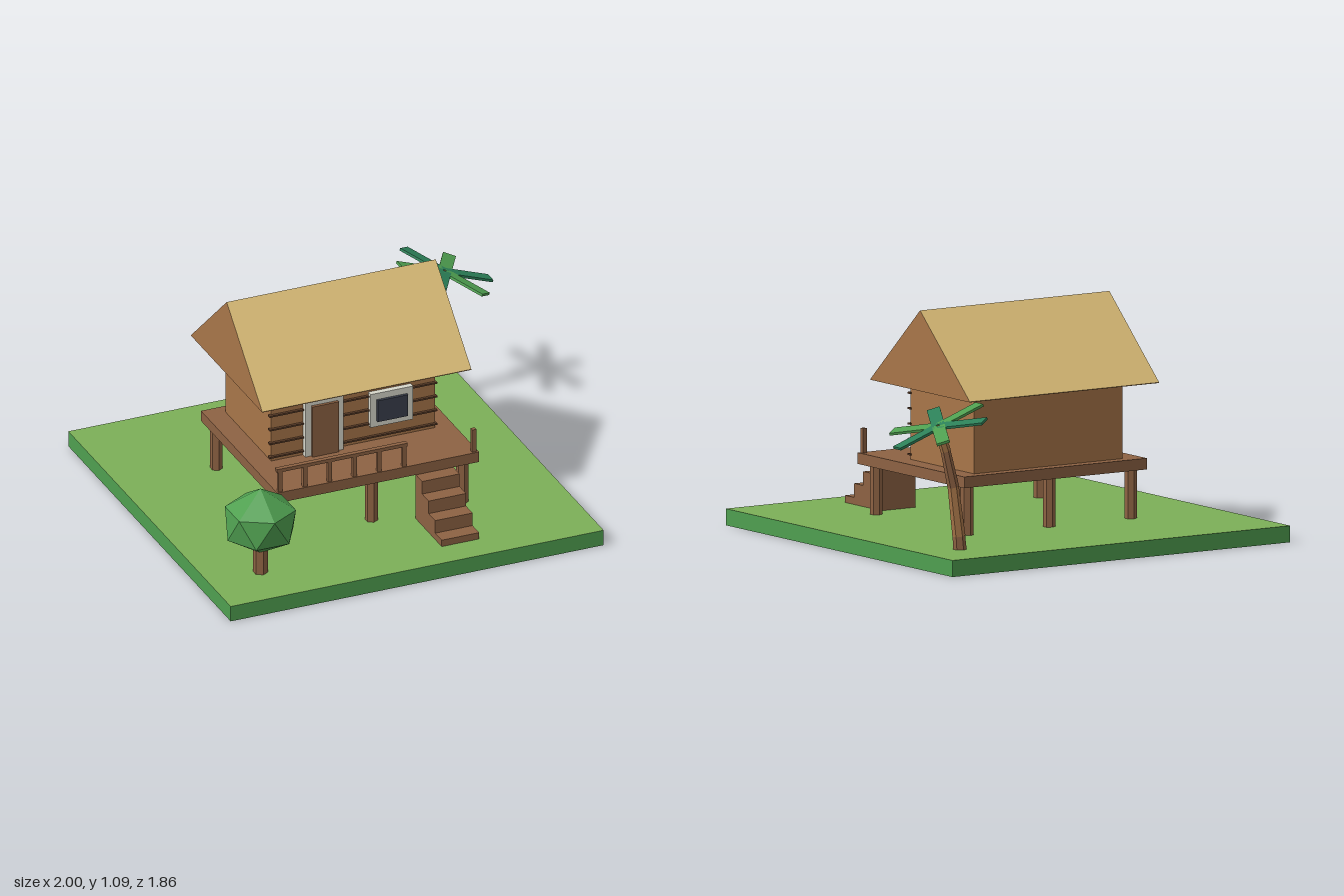
import * as THREE from 'three';
import { ConvexGeometry } from 'three/addons/geometries/ConvexGeometry.js';

const mat = (color) => new THREE.MeshStandardMaterial({ color, flatShading: true });
const grass = mat(0x7cb058), green = mat(0x4f9f50), teal = mat(0x2c8058);
const wall = mat(0xa87649), wood = mat(0x8d6243), dark = mat(0x5f402b);
const thatch = mat(0xd8ba76), trim = mat(0xd8d8cc), glass = mat(0x3a3f4c);

export function createModel() {
  const model = new THREE.Group();

  const add = (parent, name, geometry, material) => {
    const mesh = new THREE.Mesh(geometry, material);
    mesh.name = name;
    parent.add(mesh);
    return mesh;
  };
  const group = (name) => {
    const g = new THREE.Group();
    g.name = name;
    model.add(g);
    return g;
  };
  // Box given by its limits on each axis
  const box = (parent, name, material, x0, x1, y0, y1, z0, z1) => {
    const mesh = add(parent, name, new THREE.BoxGeometry(x1 - x0, y1 - y0, z1 - z0), material);
    mesh.position.set((x0 + x1) / 2, (y0 + y1) / 2, (z0 + z1) / 2);
    return mesh;
  };
  // Six-sided post between two points
  const post = (parent, name, material, a, b, rTop, rBottom) => {
    const dir = b.clone().sub(a);
    const mesh = add(parent, name, new THREE.CylinderGeometry(rTop, rBottom, dir.length(), 6), material);
    mesh.position.copy(a).add(b).multiplyScalar(0.5);
    mesh.quaternion.setFromUnitVectors(new THREE.Vector3(0, 1, 0), dir.normalize());
    return mesh;
  };
  const v = (x, y, z) => new THREE.Vector3(x, y, z);

  // Ground slab with a lighter top
  box(model, 'ground', [green, green, grass, green, green, green], -1, 0.864, 0, 0.077, -0.932, 0.932);

  // Deck on stilts
  const deck = group('deck');
  box(deck, 'deckFloor', wood, -0.573, 0.435, 0.305, 0.357, -0.39, 0.486);
  for (const x of [-0.52, -0.07, 0.383]) {
    for (const z of [0.412, -0.335]) {
      post(deck, 'stilt', wood, v(x, 0.07, z), v(x, 0.31, z), 0.029, 0.029);
    }
  }

  // Steps down to the ground
  const stairs = group('stairs');
  for (let i = 0; i < 4; i++) {
    const z = 0.482 + i * 0.075;
    box(stairs, 'step', wood, 0.12, 0.307, 0.07, 0.305 - i * 0.065, z, z + 0.075);
  }

  // Railing along the front, open at the steps
  const railing = group('railing');
  box(railing, 'topRail', wood, -0.573, 0.08, 0.46, 0.477, 0.46, 0.483);
  for (let i = 0; i < 6; i++) {
    const x = -0.555 + i * 0.124;
    box(railing, 'baluster', wood, x - 0.01, x + 0.01, 0.35, 0.465, 0.462, 0.481);
  }
  box(railing, 'endPost', wood, 0.405, 0.426, 0.35, 0.472, 0.456, 0.477);

  // House body with thin battens across the front
  const house = group('house');
  box(house, 'walls', wall, -0.474, 0.345, 0.35, 0.72, -0.337, 0.187);
  for (let i = 0; i < 5; i++) {
    const y = 0.38 + i * 0.0712;
    box(house, 'batten', dark, -0.486, 0.352, y - 0.004, y + 0.004, 0.18, 0.2);
  }

  // Door and window, each set on a pale frame
  box(house, 'doorFrame', trim, -0.315, -0.125, 0.355, 0.652, 0.18, 0.215);
  box(house, 'door', wood, -0.285, -0.152, 0.355, 0.617, 0.19, 0.229);
  box(house, 'windowFrame', trim, 0.012, 0.224, 0.44, 0.612, 0.18, 0.215);
  box(house, 'windowPane', glass, 0.042, 0.193, 0.47, 0.58, 0.19, 0.229);

  // Gable roof: wooden ends and underside, thatched slopes
  const gable = new THREE.Shape([[-0.409, 0.717], [0.409, 0.717], [0, 1.088]].map(([x, y]) => new THREE.Vector2(x, y)));
  const roof = add(house, 'roof',
    new THREE.ExtrudeGeometry(gable, { depth: 1.045, bevelEnabled: false }), [wall, thatch]);
  roof.rotation.y = Math.PI / 2;
  roof.position.set(-0.59, 0, -0.056);
  box(house, 'roofUnderside', wall, -0.59, 0.455, 0.714, 0.717, -0.465, 0.353);

  // Bush: two staggered hexagon rings between a top and a bottom point
  const bush = group('bush');
  bush.position.set(-0.739, 0, 0.674);
  const points = [v(0, 0.508, 0), v(0, 0.175, 0)];
  for (let i = 0; i < 6; i++) {
    const a = i * Math.PI / 3, b = a + Math.PI / 6;
    points.push(v(0.164 * Math.sin(a), 0.406, 0.164 * Math.cos(a)));
    points.push(v(0.164 * Math.sin(b), 0.272, 0.164 * Math.cos(b)));
  }
  add(bush, 'bushCrown', new ConvexGeometry(points), green);
  post(bush, 'bushTrunk', wood, v(0, 0.002, 0), v(0, 0.22, 0), 0.035, 0.035);

  // Palm trunk: tapering segments that lean over
  const palm = group('palm');
  const bend = [[0.643, 0.004], [0.655, 0.14], [0.686, 0.37], [0.728, 0.54], [0.77, 0.66]]
    .map(([x, y]) => v(x, y, -0.673));
  for (let i = 0; i < 4; i++) {
    const r = 0.033 - i * 0.003;
    post(palm, 'palmTrunk', i % 2 ? wall : wood, bend[i], bend[i + 1], r - 0.004, r);
  }

  // Six flat fronds, alternating in colour, on a tilted crown
  const crown = new THREE.Group();
  crown.name = 'palmCrown';
  crown.position.set(0.768, 0.657, -0.673);
  crown.rotation.z = -0.348;
  palm.add(crown);
  for (let i = 0; i < 6; i++) {
    const geometry = new THREE.BoxGeometry(0.235, 0.012, 0.062);
    geometry.translate(0.125, 0, 0);
    add(crown, 'frond', geometry, i % 2 ? green : teal).rotation.y = i * Math.PI / 3;
  }
  return model;
}
